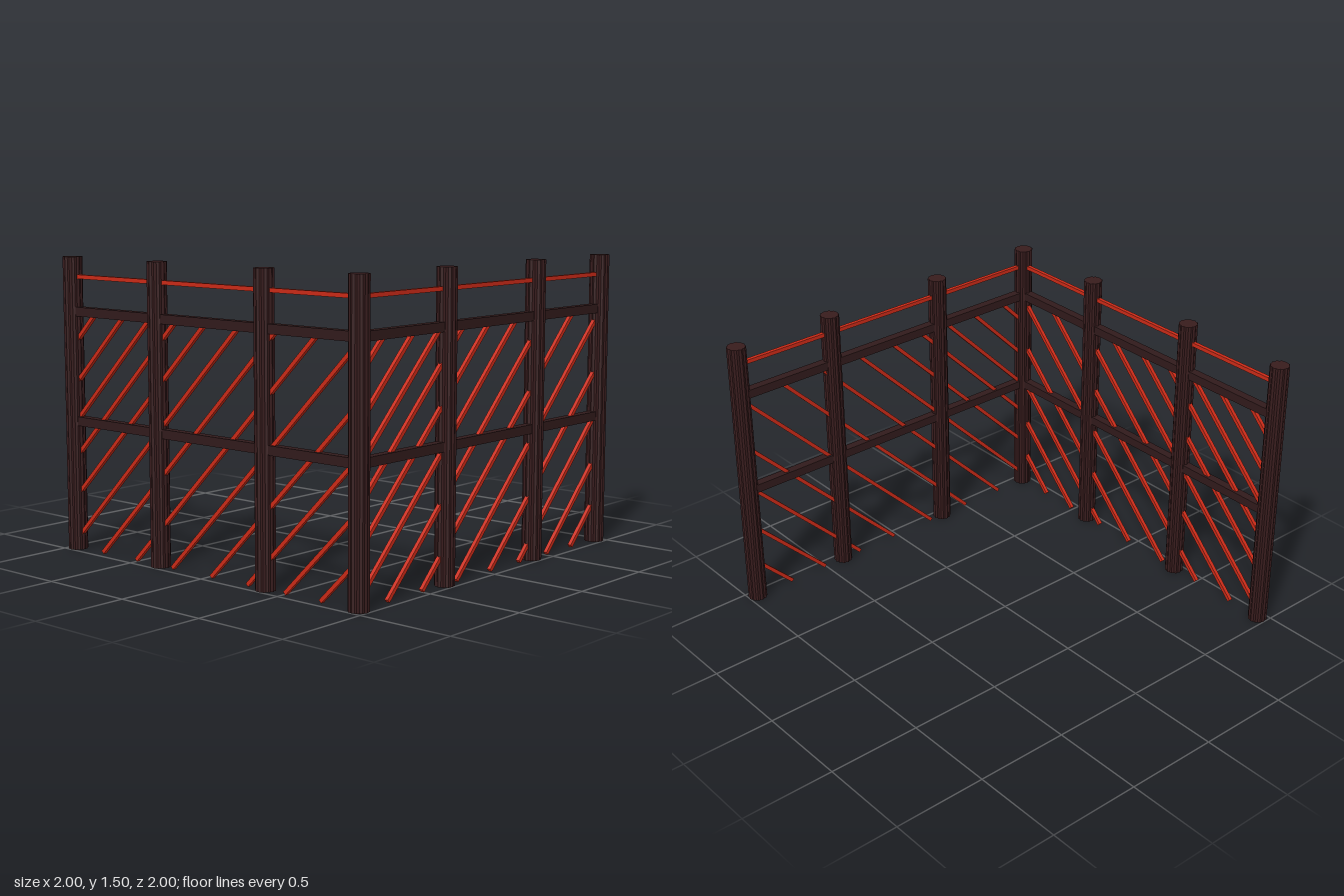
import * as THREE from 'three';

const POSTS = [-0.95, -0.33, 0.38, 0.95];
const EDGE = 0.95, HEIGHT = 1.5, RAIL_TOP = 1.225;
// Height at which each 45 degree slat line crosses the middle of a panel
const SLATS = [2.0, 1.79, 1.6, 1.42, 1.22, 1.0, 0.76, 0.51, 0.25, -0.02, -0.26, -0.5, -0.72];

export function createModel() {
  const darkWood = new THREE.MeshStandardMaterial({ color: 0x381c1d });
  darkWood.name = 'dark wood';
  const railWood = new THREE.MeshStandardMaterial({ color: 0x311a1b });
  railWood.name = 'rail wood';
  const redPaint = new THREE.MeshStandardMaterial({ color: 0xcb2a17 });
  redPaint.name = 'red paint';

  // Fluted post outline
  const outline = [];
  for (let i = 0; i < 48; i++) {
    const a = (i / 48) * Math.PI * 2;
    const r = 0.0475 + 0.0025 * Math.cos(a * 12);
    outline.push(new THREE.Vector2(r * Math.cos(a), r * Math.sin(a)));
  }
  const postGeometry = new THREE.ExtrudeGeometry(new THREE.Shape(outline), { depth: HEIGHT, bevelEnabled: false });
  postGeometry.rotateX(-Math.PI / 2);

  const addPost = (parent, x) => {
    const post = new THREE.Mesh(postGeometry, darkWood);
    post.name = 'post';
    post.position.x = x;
    parent.add(post);
  };

  // Square bar between two points in the panel plane
  const addBar = (parent, name, x0, y0, x1, y1, size, material) => {
    const dx = x1 - x0, dy = y1 - y0;
    const bar = new THREE.Mesh(new THREE.BoxGeometry(size, Math.hypot(dx, dy), size), material);
    bar.name = name;
    bar.position.set((x0 + x1) / 2, (y0 + y1) / 2, 0);
    bar.rotation.z = -Math.atan2(dx, dy);
    parent.add(bar);
  };

  const makePanel = (name, posts) => {
    const panel = new THREE.Group();
    panel.name = name;
    posts.forEach((x) => addPost(panel, x));
    for (const y of [0.667, RAIL_TOP]) addBar(panel, 'rail', -EDGE, y, EDGE, y, 0.046, railWood);
    addBar(panel, 'handrail', -EDGE, 1.4, EDGE, 1.4, 0.021, redPaint);
    // Slats run diagonally, clipped to the panel
    for (const c of SLATS) {
      const x0 = Math.max(-EDGE, 0.007 - c);
      const x1 = Math.min(EDGE, RAIL_TOP - c);
      addBar(panel, 'slat', x0, x0 + c, x1, x1 + c, 0.02, redPaint);
    }
    return panel;
  };

  const model = new THREE.Group();
  model.name = 'cornerFence';
  const front = makePanel('frontPanel', POSTS);
  front.position.z = EDGE;
  model.add(front);

  // Side panel shares the corner post; its x axis turns onto +z
  const side = makePanel('sidePanel', POSTS.slice(0, 3));
  side.rotation.y = -Math.PI / 2;
  side.position.x = -EDGE;
  model.add(side);
  return model;
}
